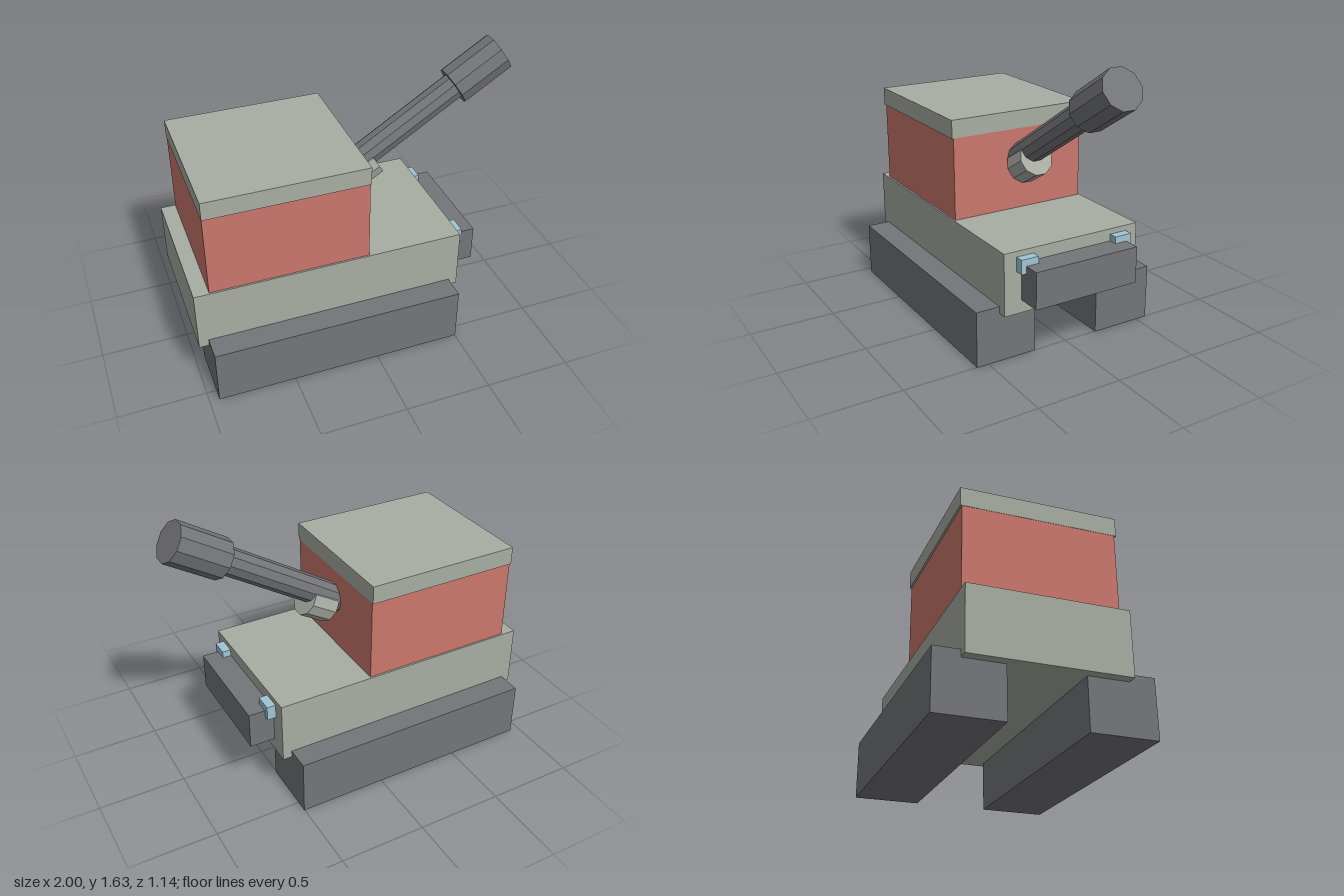
import * as THREE from 'three';

const mat = (name, color) => {
  const m = new THREE.MeshStandardMaterial({ color });
  m.name = name;
  m.flatShading = true;
  return m;
};

export function createModel() {
  const model = new THREE.Group();
  model.name = 'toyTank';
  const paleGrey = mat('paleGrey', 0xa8ada3);
  const red = mat('red', 0xcb776c);
  const darkGrey = mat('darkGrey', 0x747579);
  const paleBlue = mat('paleBlue', 0xa0c4d4);

  // Box given by its minimum and maximum on each axis
  const box = (name, material, [x0, x1], [y0, y1], [z0, z1]) => {
    const mesh = new THREE.Mesh(new THREE.BoxGeometry(x1 - x0, y1 - y0, z1 - z0), material);
    mesh.position.set((x0 + x1) / 2, (y0 + y1) / 2, (z0 + z1) / 2);
    mesh.name = name;
    model.add(mesh);
  };

  // Ten-sided rod between two points in the plane z = 0
  const rod = (name, material, radius, [xa, ya], [xb, yb]) => {
    const dx = xb - xa, dy = yb - ya;
    const mesh = new THREE.Mesh(
      new THREE.CylinderGeometry(radius, radius, Math.hypot(dx, dy), 10), material);
    mesh.position.set((xa + xb) / 2, (ya + yb) / 2, 0);
    mesh.rotation.z = Math.atan2(dy, dx) - Math.PI / 2;
    mesh.name = name;
    model.add(mesh);
  };

  // Hull, turret and roof
  box('hull', paleGrey, [-1, 0.555], [0.285, 0.645], [-0.43, 0.43]);
  box('turret', red, [-0.913, -0.002], [0.645, 1.128], [-0.42, 0.42]);
  box('roof', paleGrey, [-0.915, 0], [1.125, 1.23], [-0.43, 0.43]);
  box('bumper', darkGrey, [0.555, 0.7], [0.36, 0.573], [-0.325, 0.325]);

  // Tracks and headlights, mirrored across z
  for (const s of [-1, 1]) {
    const side = s > 0 ? 'Front' : 'Back';
    const span = (a, b) => (s > 0 ? [a, b] : [-b, -a]);
    box('track' + side, darkGrey, [-0.945, 0.503], [0, 0.325], span(0.205, 0.57));
    box('headlight' + side, paleBlue, [0.555, 0.605], [0.53, 0.613], span(0.25, 0.355));
  }

  // Raised gun
  rod('gunCollar', paleGrey, 0.102, [0.04, 0.909], [0.184, 0.995]);
  rod('gunBarrel', darkGrey, 0.079, [-0.06, 0.911], [0.7, 1.391]);
  rod('gunMuzzle', darkGrey, 0.117, [0.665, 1.369], [0.937, 1.538]);

  return model;
}
